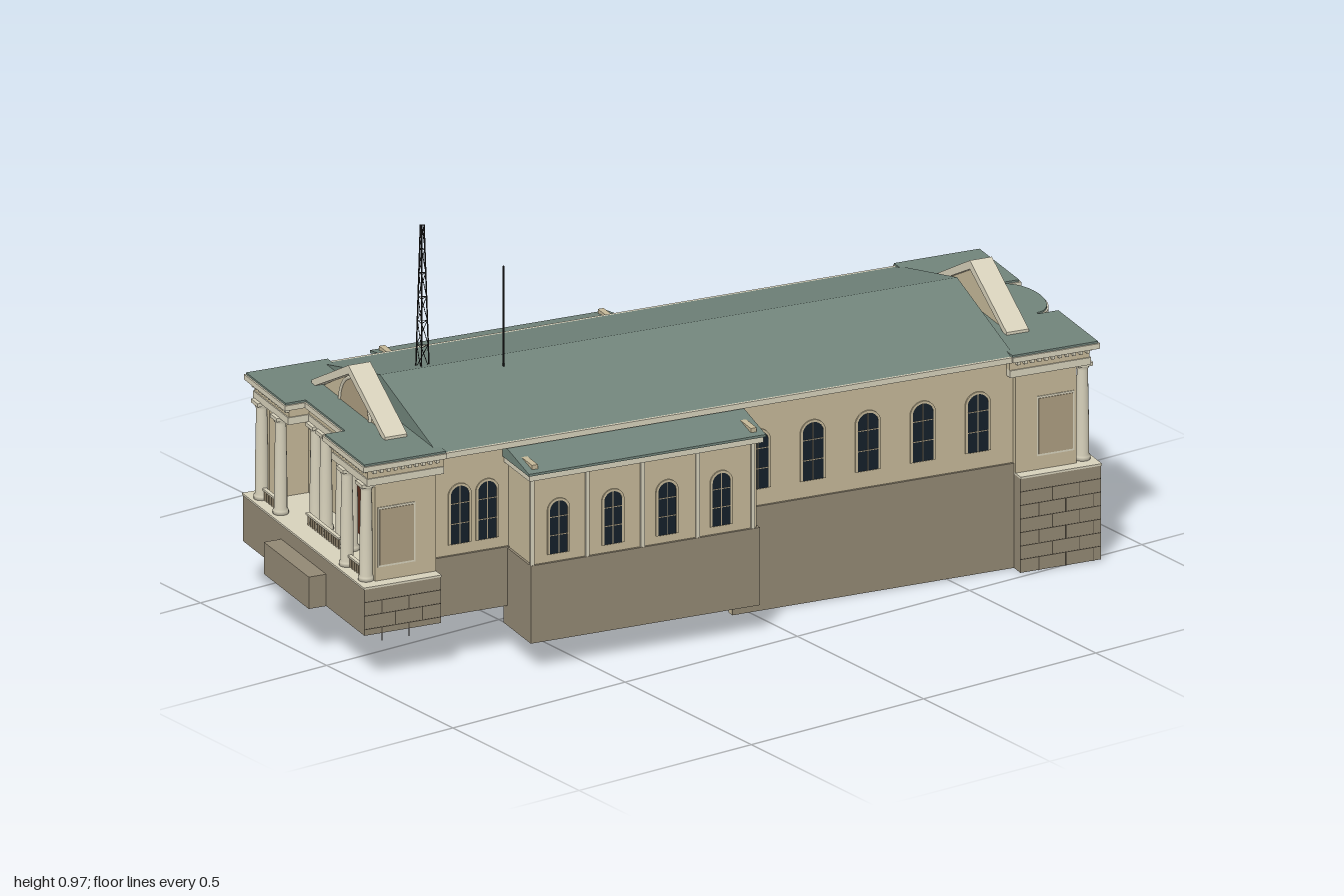
import * as THREE from 'three';

const mat = (color) => new THREE.MeshStandardMaterial({ color, side: THREE.DoubleSide });
const M = {
  wall: mat(0xc4b797), panel: mat(0xac9d80), base: mat(0x918773), roof: mat(0x70837a), pale: mat(0xd6d0ba),
  glass: mat(0x14202a), door: mat(0x5a2a1a), metal: mat(0x222222), joint: mat(0x4c463a),
};

// Local frame: x runs along the building, z across it
function add(parent, name, geo, m) {
  const mesh = new THREE.Mesh(geo, m);
  mesh.name = name;
  parent.add(mesh);
  return mesh;
}
function box(parent, name, m, x0, x1, y0, y1, z0, z1) {
  const mesh = add(parent, name, new THREE.BoxGeometry(x1 - x0, y1 - y0, Math.abs(z1 - z0)), m);
  mesh.position.set((x0 + x1) / 2, (y0 + y1) / 2, (z0 + z1) / 2);
  return mesh;
}
const ext = (shape, depth) => new THREE.ExtrudeGeometry(shape, { depth, bevelEnabled: false, curveSegments: 14 });
// Cross-section given as [z, y], swept along x
function sweepX(parent, name, m, pts, x0, x1) {
  const shape = new THREE.Shape(pts.map(([z, y]) => new THREE.Vector2(-z, y)));
  return add(parent, name, ext(shape, x1 - x0).rotateY(Math.PI / 2).translate(x0, 0, 0), m);
}
// Plan outline (x, z) given thickness from y0 to y1
function plate(parent, name, m, shape, y0, y1) {
  return add(parent, name, ext(shape, y1 - y0).rotateX(Math.PI / 2).translate(0, y1, 0), m);
}
function rod(parent, name, m, a, b, r) {
  const mesh = add(parent, name, new THREE.CylinderGeometry(r, r, a.distanceTo(b), 6), m);
  mesh.position.copy(a).add(b).multiplyScalar(0.5);
  mesh.quaternion.setFromUnitVectors(new THREE.Vector3(0, 1, 0), b.clone().sub(a).normalize());
}

function archShape(w, h, type = THREE.Shape) {
  const s = new type();
  s.moveTo(-w / 2, 0);
  s.lineTo(w / 2, 0);
  s.lineTo(w / 2, h - w / 2);
  s.absarc(0, h - w / 2, w / 2, 0, Math.PI, false);
  s.lineTo(-w / 2, 0);
  return s;
}

// Arched window going through a wall centred at z
function archWindow(parent, x, y, z, w, h) {
  const g = new THREE.Group();
  g.name = 'archedWindow';
  g.position.set(x, y, z);
  parent.add(g);
  add(g, 'glass', ext(archShape(w, h), 0.019).translate(0, 0, -0.0095), M.glass);
  const ring = archShape(w + 0.012, h + 0.006);
  ring.holes.push(archShape(w, h, THREE.Path));
  add(g, 'windowFrame', ext(ring, 0.022).translate(0, 0, -0.011), M.wall);
  box(g, 'mullion', M.panel, -0.001, 0.001, 0, h, -0.0105, 0.0105);
  for (const t of [0.35, 0.7]) box(g, 'glazingBar', M.panel, -w / 2, w / 2, h * t - 0.001, h * t + 0.001, -0.0105, 0.0105);
}

// Thin wall along x with a plinth on its outer face (side s)
function longWall(parent, x0, x1, y0, top, z, s, plinth) {
  box(parent, 'longWall', M.wall, x0, x1, y0, top, s * (z - 0.015), s * z);
  box(parent, 'plinth', M.base, x0, x1, y0, plinth, s * z, s * (z + 0.006));
}

function column(parent, x, z, y0, y1) {
  const g = new THREE.Group();
  g.name = 'column';
  g.position.set(x, y0, z);
  parent.add(g);
  const h = y1 - y0;
  const pts = [[0.0, 0], [0.019, 0], [0.019, 0.01], [0.0155, 0.014], [0.0155, h * 0.35], [0.013, h - 0.02], [0.018, h - 0.01], [0.018, h - 0.008]];
  add(g, 'shaft', new THREE.LatheGeometry(pts.map((p) => new THREE.Vector2(...p)), 16), M.pale);
  box(g, 'abacus', M.pale, -0.019, 0.019, h - 0.009, h, -0.019, 0.019);
}

// Portico facing +x; bow = rounded centre, otherwise a recessed centre
function portico(name, bottom, end, bow) {
  const g = new THREE.Group();
  g.name = name;
  const H = 0.333, E = end, N = E - 0.052;
  box(g, 'podium', M.base, 0.742, E, bottom, 0.236, -0.337, 0.337);
  box(g, 'porchFloor', M.pale, 0.742, E + 0.002, 0.236, 0.241, -0.339, 0.339);
  // Stone joints on the podium flanks
  for (const s of [1, -1]) {
    for (let y = 0.033, row = 0; y < 0.236; y += 0.034, row++) {
      if (y < bottom + 0.01) continue;
      box(g, 'stoneJoint', M.joint, 0.742, E, y - 0.001, y + 0.001, s * 0.336, s * 0.3375);
      for (let x = 0.79 + (row % 2) * 0.035; x < E - 0.01; x += 0.07)
        box(g, 'stoneJoint', M.joint, x - 0.001, x + 0.001, y - 0.034, y, s * 0.336, s * 0.3375);
    }
  }
  // Back wall, side walls, doors and round windows
  box(g, 'porchBackWall', M.wall, 0.742, 0.8, 0.24, 0.49, -0.31, 0.31);
  for (const s of [1, -1]) {
    box(g, 'sideWall', M.wall, 0.742, 0.9, 0.24, 0.49, s * 0.275, s * 0.31);
    box(g, 'sidePanelFrame', M.pale, 0.797, 0.893, 0.275, 0.425, s * 0.308, s * 0.312);
    box(g, 'sidePanel', M.panel, 0.801, 0.889, 0.28, 0.42, s * 0.309, s * 0.3135);
    box(g, 'doorFrame', M.pale, 0.798, 0.803, 0.24, 0.352, s * 0.2, s * 0.26);
    box(g, 'door', M.door, 0.799, 0.805, 0.24, 0.345, s * 0.207, s * 0.253);
    const oculus = add(g, 'roundWindow', new THREE.TorusGeometry(0.017, 0.003, 6, 20).rotateY(Math.PI / 2), M.pale);
    oculus.position.set(0.801, 0.41, s * 0.23);
  }
  if (bow) add(g, 'roundedWall', new THREE.CylinderGeometry(0.1, 0.1, 0.25, 28, 1, true, 0, Math.PI).scale(0.5, 1, 1).translate(0.8, 0.365, 0), M.wall);
  else box(g, 'middleDoor', M.door, 0.799, 0.805, 0.24, 0.36, -0.03, 0.03);
  // Columns
  const spots = [[E - 0.026, 0.29], [E - 0.026, 0.184], [bow ? N : N - 0.026, 0.098], [bow ? N + 0.034 : N - 0.026, 0.045]];
  for (const s of [1, -1]) for (const [x, z] of spots) column(g, x, s * z, 0.24, 0.487);
  // Balustrades between columns
  for (const [z0, z1, x] of [[0.2, 0.275, E - 0.026], [-0.275, -0.2, E - 0.026], [-0.09, 0.09, N]]) {
    box(g, 'handRail', M.pale, x - 0.005, x + 0.005, 0.266, 0.271, z0, z1);
    for (let z = z0 + 0.006; z < z1; z += 0.013) box(g, 'baluster', M.panel, x - 0.002, x + 0.002, 0.24, 0.266, z - 0.002, z + 0.002);
  }
  // Entablature layers follow one plan, each inset differently
  const plan = (i) => {
    const s = new THREE.Shape();
    s.moveTo(0.725, -H + i);
    s.lineTo(E - i, -H + i);
    s.lineTo(E - i, -0.105 - i);
    s.lineTo(N - i, -0.105 - i);
    if (bow) s.absellipse(N - i, 0, 0.056, 0.103 - i / 2, -Math.PI / 2, Math.PI / 2, false);
    s.lineTo(N - i, 0.105 + i);
    s.lineTo(E - i, 0.105 + i);
    s.lineTo(E - i, H - i);
    s.lineTo(0.725, H - i);
    s.closePath();
    return s;
  };
  plate(g, 'architrave', M.pale, plan(0.016), 0.485, 0.503);
  plate(g, 'frieze', M.wall, plan(0.019), 0.503, 0.528);
  plate(g, 'cornice', M.pale, plan(0), 0.528, 0.541);
  plate(g, 'porticoRoof', M.roof, plan(0.004), 0.541, 0.546);
  for (const s of [1, -1]) {
    for (let z = 0.125; z < 0.32; z += 0.018) box(g, 'dentil', M.pale, E - 0.019, E - 0.009, 0.517, 0.528, s * z - 0.004, s * z + 0.004);
    for (let x = 0.74; x < E - 0.02; x += 0.018) box(g, 'dentil', M.pale, x, x + 0.008, 0.517, 0.528, s * 0.314, s * 0.324);
  }
  // Pediment with an arch in its face
  sweepX(g, 'tympanum', M.wall, [[-0.19, 0.54], [0.19, 0.54], [0, 0.645]], 0.78, 0.805);
  sweepX(g, 'rakingCornice', M.pale, [[-0.205, 0.553], [0, 0.662], [0.205, 0.553], [0.205, 0.535], [0, 0.64], [-0.205, 0.535]], 0.768, 0.825);
  const lunette = new THREE.Shape();
  lunette.absarc(0, 0.54, 0.082, 0, Math.PI, false);
  add(g, 'lunette', ext(lunette, 0.004).rotateY(Math.PI / 2).translate(0.804, 0, 0), M.panel);
  const arch = add(g, 'pedimentArch', new THREE.TorusGeometry(0.084, 0.005, 6, 28, Math.PI).rotateY(Math.PI / 2), M.pale);
  arch.position.set(0.807, 0.54, 0);
  // Cellar window or landing below the porch
  if (bow) {
    const cellar = new THREE.Shape();
    cellar.absarc(0, 0.12, 0.034, 0, Math.PI, false);
    add(g, 'cellarWindow', ext(cellar, 0.004).rotateY(Math.PI / 2).translate(E - 0.001, 0, 0), M.glass);
    const rim = add(g, 'cellarArch', new THREE.TorusGeometry(0.037, 0.005, 6, 20, Math.PI).rotateY(Math.PI / 2), M.pale);
    rim.position.set(E, 0.12, 0);
  } else box(g, 'landing', M.base, E, 0.985, bottom, 0.2, -0.125, 0.125);
  return g;
}

export function createModel() {
  const root = new THREE.Group();
  root.name = 'building';
  const b = new THREE.Group();
  b.name = 'turnedBuilding';
  b.rotation.y = -THREE.MathUtils.degToRad(11.3);
  b.position.z = 0.005;
  root.add(b);

  for (const s of [1, -1]) {
    // Main long walls: the ground steps down to the right
    longWall(b, 0.015, 0.75, 0, 0.53, 0.295, s, 0.263);
    longWall(b, -0.75, -0.555, 0.12, 0.53, 0.295, s, 0.268);
    box(b, 'upperWall', M.wall, -0.56, 0.02, 0.47, 0.53, s * 0.28, s * 0.295);
    for (let i = 0; i < 5; i++) archWindow(b, 0.083 + i * 0.142, 0.305, s * 0.2875, 0.054, 0.145);
    for (const x of [-0.687, -0.616]) archWindow(b, x, 0.295, s * 0.2875, 0.048, 0.145);
    box(b, 'eavesCornice', M.pale, -0.75, 0.73, 0.526, 0.54, s * 0.27, s * 0.327);

    // Side wing
    longWall(b, -0.56, 0.02, 0.07, 0.485, 0.425, s, 0.265);
    for (let i = 0; i < 4; i++) archWindow(b, -0.492 + i * 0.14, 0.285, s * 0.4175, 0.046, 0.132);
    for (let i = 0; i < 5; i++) box(b, 'pilaster', M.pale, -0.566 + i * 0.1425, -0.556 + i * 0.1425, 0.265, 0.485, s * 0.424, s * 0.43);
    for (const [x, d] of [[-0.56, -1], [0.02, 1]]) {
      box(b, 'wingEndWall', M.wall, Math.min(x, x - d * 0.015), Math.max(x, x - d * 0.015), 0.07, 0.515, s * 0.28, s * 0.425);
      if (s > 0 || d < 0) box(b, 'wingEndPlinth', M.base, Math.min(x, x + d * 0.006), Math.max(x, x + d * 0.006), 0.07, 0.265, s * 0.28, s * 0.431);
    }
    box(b, 'wingCornice', M.pale, -0.572, 0.032, 0.48, 0.495, s * 0.28, s * 0.437);
    sweepX(b, 'wingRoof', M.roof, [[s * 0.285, 0.495], [s * 0.442, 0.495], [s * 0.442, 0.501], [s * 0.285, 0.53]], -0.576, 0.036);
  }

  // Main roof
  sweepX(b, 'mainRoof', M.roof, [[-0.32, 0.54], [0.32, 0.54], [0, 0.625]], -0.755, 0.735);

  // End porticoes
  b.add(portico('rightPortico', 0, 0.95, true));
  const left = portico('leftPortico', 0.12, 0.94, false);
  left.rotation.y = Math.PI;
  left.position.x = -0.012;
  b.add(left);

  // Lattice mast and pole on the roof
  const mast = new THREE.Group();
  mast.name = 'latticeMast';
  mast.position.set(-0.63, 0, -0.035);
  b.add(mast);
  const leg = (i, t) => {
    const a = (i * 2 * Math.PI) / 3, r = 0.018 - 0.013 * t;
    return new THREE.Vector3(r * Math.cos(a), 0.605 + 0.363 * t, r * Math.sin(a));
  };
  for (let i = 0; i < 3; i++) {
    rod(mast, 'mastLeg', M.metal, leg(i, 0), leg(i, 1), 0.0017);
    for (let k = 0; k < 6; k++) {
      rod(mast, 'mastBrace', M.metal, leg(i, k / 6), leg(i + 1, (k + 1) / 6), 0.0009);
      rod(mast, 'mastRing', M.metal, leg(i, (k + 1) / 6), leg(i + 1, (k + 1) / 6), 0.0009);
    }
  }
  rod(b, 'roofPole', M.metal, new THREE.Vector3(-0.457, 0.6, 0.045), new THREE.Vector3(-0.457, 0.865, 0.045), 0.002);
  return root;
}
